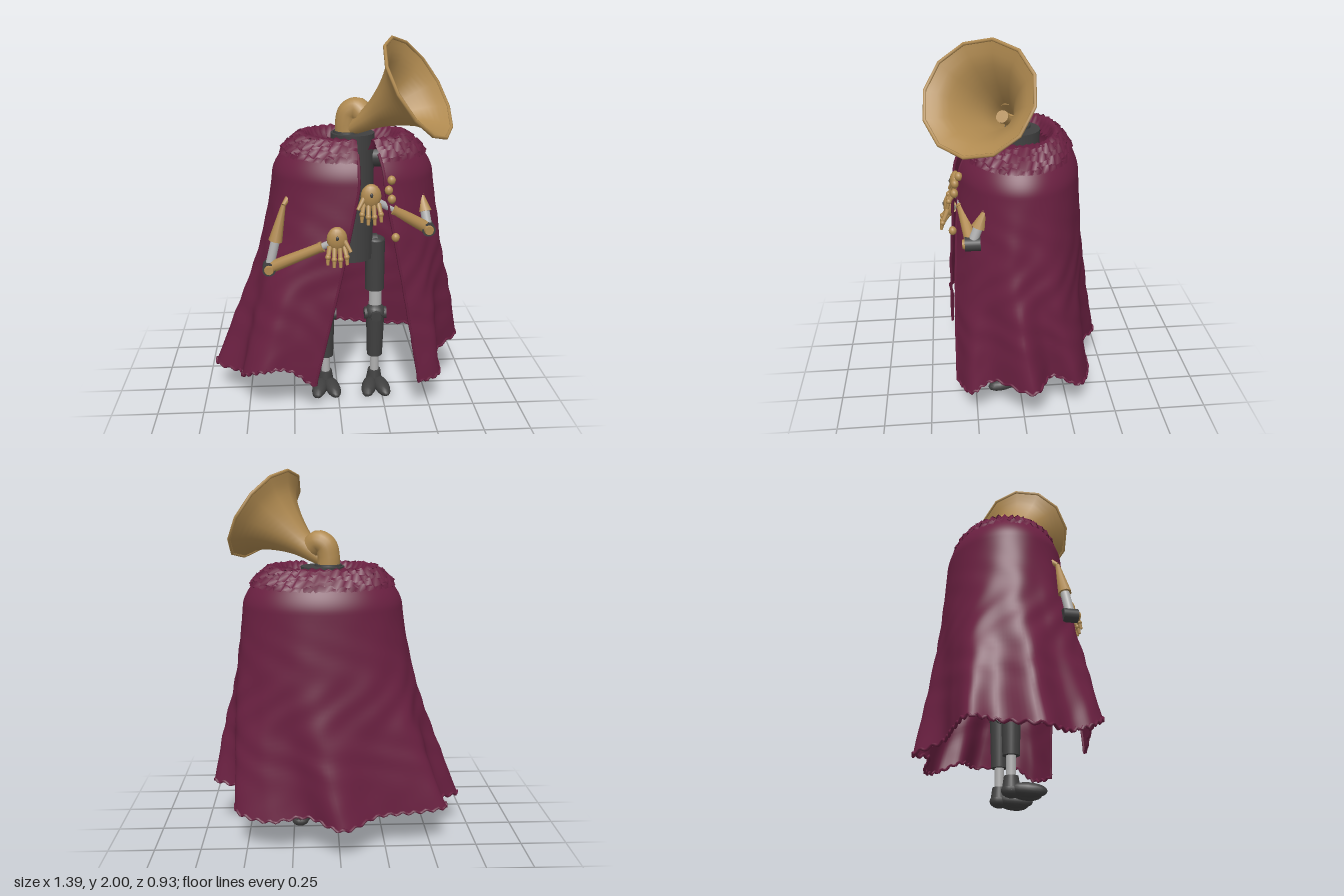
import * as THREE from 'three';

const V = (x, y, z) => new THREE.Vector3(x, y, z);
const mat = (name, color, side = THREE.FrontSide) => {
  const m = new THREE.MeshStandardMaterial({ color, side });
  m.name = name;
  return m;
};

export function createModel() {
  const model = new THREE.Group();
  model.name = 'hornHeadedAutomaton';
  const cloth = mat('wine cloth', 0x6a2041, THREE.DoubleSide);
  const brass = mat('brass', 0xb08a50, THREE.DoubleSide);
  const iron = mat('dark iron', 0x404040);
  const steel = mat('pale steel', 0xb0b0b0);

  const add = (parent, name, geo, material, pos) => {
    const mesh = new THREE.Mesh(geo, material);
    mesh.name = name;
    if (pos) mesh.position.copy(pos);
    parent.add(mesh);
    return mesh;
  };
  const group = (name, parent = model) => {
    const g = new THREE.Group();
    g.name = name;
    parent.add(g);
    return g;
  };
  // Tapered round bar from a to b
  const rod = (parent, name, a, b, r1, r2, material, sides = 14) => {
    const m = add(parent, name, new THREE.CylinderGeometry(r2, r1, a.distanceTo(b), sides), material,
      a.clone().lerp(b, 0.5));
    m.quaternion.setFromUnitVectors(V(0, 1, 0), b.clone().sub(a).normalize());
    return m;
  };
  const ball = (parent, name, p, rx, ry, rz, material) => {
    const m = add(parent, name, new THREE.SphereGeometry(1, 14, 10), material, p);
    m.scale.set(rx, ry, rz);
    return m;
  };
  // Surface swept through a grid of points
  const sheet = (nu, nv, fn) => {
    const pos = [], idx = [];
    for (let j = 0; j <= nv; j++) for (let i = 0; i <= nu; i++) {
      const p = fn(i / nu, j / nv, i, j);
      pos.push(p.x, p.y, p.z);
      if (i < nu && j < nv) {
        const a = j * (nu + 1) + i, c = a + nu + 1;
        idx.push(a, c, a + 1, a + 1, c, c + 1);
      }
    }
    const g = new THREE.BufferGeometry();
    g.setAttribute('position', new THREE.Float32BufferAttribute(pos, 3));
    g.setIndex(idx);
    g.computeVertexNormals();
    return g;
  };

  // Cape: shoulder ellipse that widens downward and breaks into a wavy hem, open at the front
  const hem = new THREE.CatmullRomCurve3([
    [-.14, .22, .37], [-.28, .32, .365], [-.41, .32, .375], [-.52, .26, .29], [-.54, .22, .18],
    [-.69, .2, .02], [-.56, .24, -.15], [-.57, .25, -.28], [-.4, .24, -.32], [-.2, .23, -.34],
    [-.01, .21, -.46], [.17, .24, -.36], [.38, .22, -.36], [.55, .25, -.28], [.54, .31, -.14],
    [.69, .32, -.03], [.54, .3, .17], [.54, .23, .28], [.42, .22, .35],
  ].map((p) => V(...p)));
  const shoulder = (u, s, y) => {
    const a = -0.02 + u * 5.97, back = Math.cos(a) < 0;
    return V(.08 - .425 * s * Math.sin(a), y, (back ? .31 : .325) * s * Math.cos(a));
  };
  const capePoint = (u, v) => {
    if (v > 0.8) { // rounded shoulders
      const k = (v - 0.8) / 0.2;
      return shoulder(u, 1 - .2 * Math.pow(k, 1.8), 1.3 + .15 * k);
    }
    const t = 1 - v / 0.8, h = hem.getPoint(u);
    const p = shoulder(u, 1, 1.3);
    p.x = .08 + (p.x - .08) * (1 + .24 * t);
    p.z *= 1 + .14 * t;
    p.lerp(h, Math.pow(t, 1.9 - .8 * Math.pow(2 * u - 1, 4)));
    // shallow folds and lumps in the cloth
    const w = 1 + Math.sin(Math.PI * t) * (.006 * Math.sin(u * 47 + v * 9)
      + .011 * Math.sin(u * 61 + 2 * Math.sin(v * 14)) * Math.sin(v * 31 + u * 17));
    return V(.05 + (p.x - .05) * w, 1.3 + (h.y - 1.3) * t, p.z * w);
  };
  const cape = group('cape');
  add(cape, 'capeCloth', sheet(150, 50, capePoint), cloth);

  // Ruffled collar: stacked uneven frills that turn down into the neck opening
  const rows = [[.9, 1.41], [.86, 1.44], [.88, 1.43], [.8, 1.465], [.82, 1.455], [.73, 1.49], [.76, 1.48],
    [.66, 1.51], [.69, 1.505], [.6, 1.515], [.57, 1.49], [.5, 1.45]];
  add(cape, 'collarFrills', sheet(76, rows.length - 1, (u, v, i, j) => {
    const zig = (i % 2 ? 1 : -1) * (.75 + .5 * Math.sin(i * 2.3 + j * 1.7)), last = j === rows.length - 1;
    return shoulder(u, rows[j][0] + zig * (last ? .055 : .018), rows[j][1] + zig * .007);
  }), cloth);

  // Rolled, slightly frayed border
  const border = [];
  for (let j = 0; j <= 24; j++) border.push(capePoint(0, 1 - j / 24));
  for (let i = 1; i < 110; i++) {
    const p = capePoint(i / 110, 0);
    p.y += i % 2 ? .01 : -.006;
    border.push(p);
  }
  for (let j = 0; j <= 24; j++) border.push(capePoint(1, j / 24));
  add(cape, 'capeBorder', new THREE.TubeGeometry(new THREE.CatmullRomCurve3(border), 420, .008, 5), cloth);
  for (const [x, y, z] of [[.25, 1.33, .305], [.235, 1.285, .325], [.25, 1.24, .33], [.272, 1.045, .345]])
    ball(cape, 'capeClasp', V(x, y, z), .021, .023, .02, brass);

  // Body
  const body = group('body');
  rod(body, 'torso', V(.08, .82, 0), V(.08, 1.51, 0), .115, .115, iron, 24);
  rod(body, 'hipBar', V(-.08, .9, 0), V(.22, .9, 0), .045, .045, iron);
  rod(body, 'shoulderBar', V(-.14, 1.38, 0), V(.28, 1.38, 0), .055, .055, iron);

  // Legs
  for (const [side, x] of [['right', -.068], ['left', .215]]) {
    const leg = group(side + 'Leg');
    leg.position.x = x;
    rod(leg, 'thigh', V(-.005, .62, 0), V(-.005, .91, 0), .054, .054, iron);
    ball(leg, 'hipCap', V(-.005, .91, 0), .054, .025, .054, iron);
    rod(leg, 'thighRod', V(0, .5, .005), V(0, .64, 0), .036, .036, steel);
    ball(leg, 'knee', V(0, .48, .015), .06, .055, .055, iron);
    rod(leg, 'kneeDisc', V(0, .475, .05), V(0, .475, .08), .034, .03, iron, 8);
    rod(leg, 'kneePin', V(-.062, .475, .015), V(.062, .475, .015), .034, .034, iron);
    rod(leg, 'shin', V(0, .215, .015), V(0, .46, .015), .044, .052, iron);
    rod(leg, 'shinRod', V(0, .08, .015), V(0, .23, .015), .025, .025, steel);
    rod(leg, 'ankle', V(0, .04, .015), V(0, .115, .015), .048, .036, iron);
    ball(leg, 'heel', V(0, .045, .015), .05, .035, .05, iron);
    for (const s of [-1, 1])
      ball(leg, 'toe', V(s * .036, .045, .09), .042, .036, .094, iron).rotation.set(.08, s * .25, 0);
  }

  // Arms: upper arm emerges from the cloth, forearm reaches forward
  const arm = (side, sh, sleeve, elbow, hand, split, cuff, out) => {
    const g = group(side + 'Arm');
    const at = (a, b, t) => a.clone().lerp(b, t);
    rod(g, 'upperArm', at(elbow, sleeve, split), sleeve, .036, .012, brass, 8);
    rod(g, 'shoulderLink', sleeve, sh, .012, .035, brass);
    rod(g, 'upperArmRod', elbow, at(elbow, sleeve, split + .03), .024, .024, steel);
    rod(g, 'elbowPin', elbow.clone().add(V(0, 0, -.042)), elbow.clone().add(V(0, 0, .034)), .035, .035, iron);
    rod(g, 'elbowCap', elbow.clone().add(V(0, 0, .03)), elbow.clone().add(V(0, 0, .046)), .027, .022, brass);
    rod(g, 'forearm', elbow, at(elbow, hand, cuff), .032, .025, brass);
    rod(g, 'wristRod', at(elbow, hand, cuff - .05), hand, .018, .018, steel);
    rod(g, 'wristCuff', at(elbow, hand, cuff - .02), at(elbow, hand, cuff + .02), .028, .028, brass);
    // Hand with jointed fingers hanging down and forward
    const h = group('hand', g);
    h.position.copy(hand);
    h.scale.setScalar(1.12);
    ball(h, 'palm', V(0, .008, 0), .046, .056, .028, brass);
    ball(h, 'knuckleStud', V(0, .018, .026), .007, .01, .005, iron);
    for (let i = 0; i < 4; i++) {
      const x = -.036 + i * .024, len = i % 3 ? .012 : 0;
      const a = V(x * .9, -.025, .006), b = V(x * 1.15, -.065 - len, .034), c = V(x * 1.2, -.1 - len, .042);
      rod(h, 'fingerBase', a, b, .012, .01, brass, 8);
      ball(h, 'fingerJoint', b, .013, .013, .013, brass);
      rod(h, 'fingerTip', b, c, .01, .007, brass, 8);
    }
    rod(h, 'thumb', V(-out * .03, .005, .005), V(-out * .06, -.045, .03), .013, .008, brass, 8);
  };
  arm('right', V(-.13, 1.38, .03), V(-.285, 1.185, .22), V(-.365, .86, .255), V(-.022, 1.04, .36), .43, .78, -1);
  arm('left', V(.3, 1.38, .03), V(.425, 1.215, .19), V(.45, 1.06, .255), V(.148, 1.245, .32), .52, .62, 1);

  // Horn head: gooseneck pipe and flared bell
  const horn = group('hornHead');
  const axis = V(.735, .54, .41).normalize(), mouth = V(.388, 1.765, .205);
  const along = (d) => mouth.clone().addScaledVector(axis, -d);
  rod(horn, 'neckCollar', V(.05, 1.49, 0), V(.05, 1.52, 0), .075, .07, iron, 20);
  const neck = new THREE.CatmullRomCurve3([V(.05, 1.47, 0), V(.048, 1.56, 0), V(.062, 1.615, .003),
    V(.1, 1.635, .015), V(.13, 1.61, .035)]);
  add(horn, 'gooseneck', new THREE.TubeGeometry(neck, 24, .06, 14), brass);
  const profile = new THREE.CatmullRomCurve3([[.034, -.43], [.05, -.36], [.07, -.28], [.103, -.2],
    [.147, -.12], [.203, -.05], [.277, 0]].map(([r, y]) => V(r, y, 0)))
    .getPoints(18).map((p) => new THREE.Vector2(p.x, p.y));
  const bell = add(horn, 'bell', new THREE.LatheGeometry(profile, 12), brass, mouth);
  const rim = add(horn, 'bellRim', new THREE.TorusGeometry(.277, .009, 6, 12), brass, mouth);
  bell.quaternion.setFromUnitVectors(V(0, 1, 0), axis);
  rim.quaternion.copy(bell.quaternion).multiply(
    new THREE.Quaternion().setFromAxisAngle(V(1, 0, 0), -Math.PI / 2));
  rod(horn, 'throatStub', along(.43), along(.31), .024, .024, brass);
  rod(horn, 'throatCap', along(.315), along(.3), .032, .032, brass);

  return model;
}
